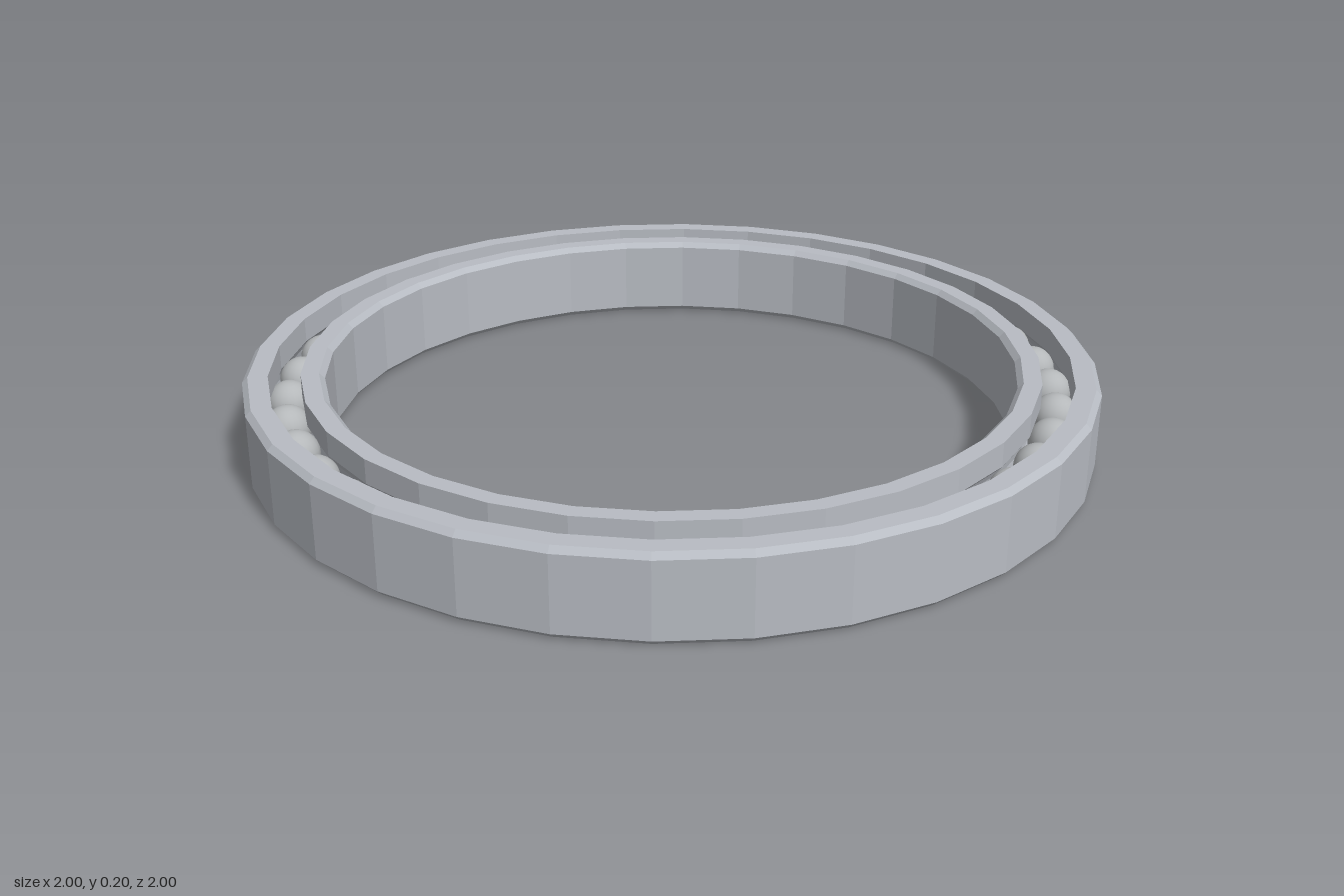
import * as THREE from 'three';

const HEIGHT = 0.2;
const MID = HEIGHT / 2;
const SIDES = 32;
const BALLS = 39;
const BALL_RADIUS = 0.054;
const TRACK_RADIUS = 0.903;
const CHAMFER = 0.013;

// Raceway groove cut into a wall; side is +1 for the outer ring, -1 for the inner ring
function groove(wallRadius, side) {
  const r = BALL_RADIUS + 0.002;
  const half = Math.acos(Math.abs(wallRadius - TRACK_RADIUS) / r);
  const points = [];
  for (let i = 0; i <= 6; i++) {
    const a = half * (1 - i / 3) * side;
    points.push([TRACK_RADIUS + side * r * Math.cos(a), MID + r * Math.sin(a)]);
  }
  return points;
}

// Closed cross-section, listed counterclockwise, turned into a faceted ring
function makeRing(name, profile, material) {
  const points = [...profile, profile[0]].map(([r, y]) => new THREE.Vector2(r, y));
  const geometry = new THREE.LatheGeometry(points, SIDES).toNonIndexed();
  geometry.computeVertexNormals();
  const ring = new THREE.Mesh(geometry, material);
  ring.name = name;
  return ring;
}

export function createModel() {
  const group = new THREE.Group();
  group.name = 'ballBearing';

  const ringSteel = new THREE.MeshStandardMaterial({ color: 0xb8bcc3 });
  ringSteel.name = 'ringSteel';
  const ballSteel = new THREE.MeshStandardMaterial({ color: 0xb5b8ba });
  ballSteel.name = 'ballSteel';

  // Outer ring: chamfered outside, grooved inside
  const outerWall = 0.941;
  group.add(makeRing('outerRing', [
    [outerWall, 0],
    [1 - CHAMFER, 0],
    [1, CHAMFER],
    [1, HEIGHT - CHAMFER],
    [1 - CHAMFER, HEIGHT],
    [outerWall, HEIGHT],
    ...groove(outerWall, 1),
  ], ringSteel));

  // Inner ring: chamfered bore, grooved outside
  const innerWall = 0.867;
  const bore = 0.812;
  group.add(makeRing('innerRing', [
    [bore, CHAMFER],
    [bore + CHAMFER, 0],
    [innerWall, 0],
    ...groove(innerWall, -1),
    [innerWall, HEIGHT],
    [bore + CHAMFER, HEIGHT],
    [bore, HEIGHT - CHAMFER],
  ], ringSteel));

  // Balls spaced evenly along the track
  const balls = new THREE.Group();
  balls.name = 'balls';
  const ballGeometry = new THREE.SphereGeometry(BALL_RADIUS, 20, 14);
  for (let i = 0; i < BALLS; i++) {
    const a = (i / BALLS) * Math.PI * 2;
    const ball = new THREE.Mesh(ballGeometry, ballSteel);
    ball.name = 'ball';
    ball.position.set(TRACK_RADIUS * Math.cos(a), MID, TRACK_RADIUS * Math.sin(a));
    balls.add(ball);
  }
  group.add(balls);

  return group;
}
